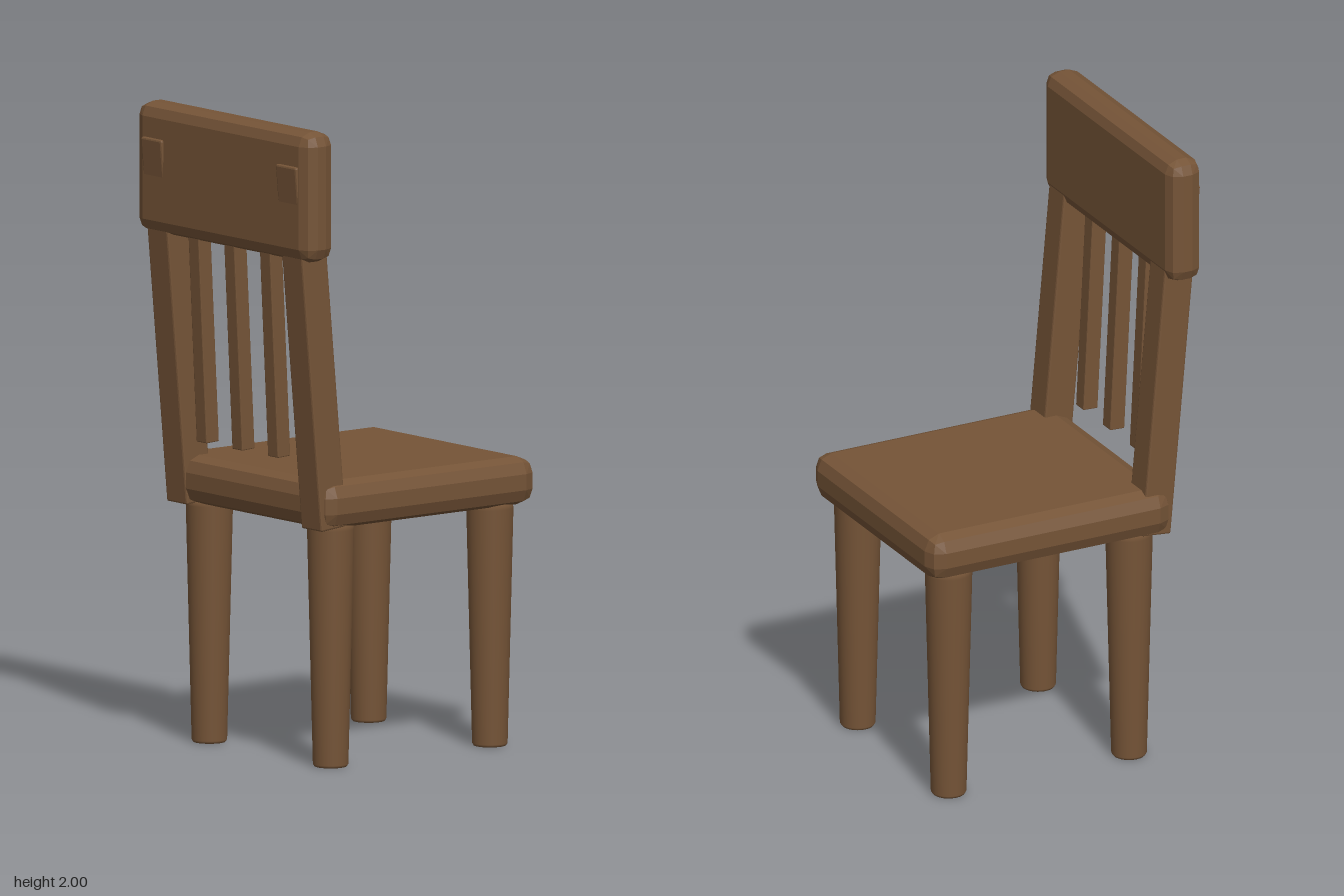
import * as THREE from 'three';
import { ConvexGeometry } from 'three/addons/geometries/ConvexGeometry.js';

// Flat-faceted box whose edges carry a two-step bevel of radius r
function bevelBox(w, h, d, r) {
  const a = Math.SQRT1_2, c = 1 / Math.sqrt(3);
  const octant = [[1, 0, 0], [0, 1, 0], [0, 0, 1], [a, a, 0], [a, 0, a], [0, a, a], [c, c, c]];
  const points = [];
  for (const sx of [-1, 1]) for (const sy of [-1, 1]) for (const sz of [-1, 1]) {
    for (const [x, y, z] of octant) {
      points.push(new THREE.Vector3(
        sx * (w / 2 - r + r * x),
        sy * (h / 2 - r + r * y),
        sz * (d / 2 - r + r * z)));
    }
  }
  return new ConvexGeometry(points);
}

export function createModel() {
  const group = new THREE.Group();
  group.name = 'chair';
  const wood = new THREE.MeshStandardMaterial({ color: 0x755437 });
  wood.name = 'brown wood';

  function add(name, geometry, x, y, z, tilt = 0) {
    const mesh = new THREE.Mesh(geometry, wood);
    mesh.name = name;
    mesh.position.set(x, y, z);
    mesh.rotation.z = tilt;
    group.add(mesh);
  }

  // Seat, with the chair facing +x
  add('seat', bevelBox(0.845, 0.15, 0.8, 0.05), 0.0475, 0.825, 0);

  // Tapered round legs with a softened foot
  const leg = new THREE.LatheGeometry([
    [0, 0], [0.05, 0], [0.055, 0.008], [0.073, 0.74], [0.07, 0.76], [0, 0.76],
  ].map(([x, y]) => new THREE.Vector2(x, y)), 24);

  // Leaning back posts
  const post = bevelBox(0.1, 1.15, 0.1, 0.006);

  for (const side of [-1, 1]) {
    add('backLeg', leg, -0.27, 0, side * 0.297);
    add('frontLeg', leg, 0.358, 0, side * 0.297);
    add('backPost', post, -0.374, 1.325, side * 0.33, 0.09);
  }

  // Slender slats hanging from the top rail
  const slat = bevelBox(0.05, 0.7, 0.05, 0.003);
  for (const z of [-0.175, 0, 0.175]) add('slat', slat, -0.392, 1.31, z, 0.05);

  // Top rail of the backrest
  add('topRail', bevelBox(0.116, 0.405, 0.85, 0.042), -0.407, 1.7975, 0);

  return group;
}
